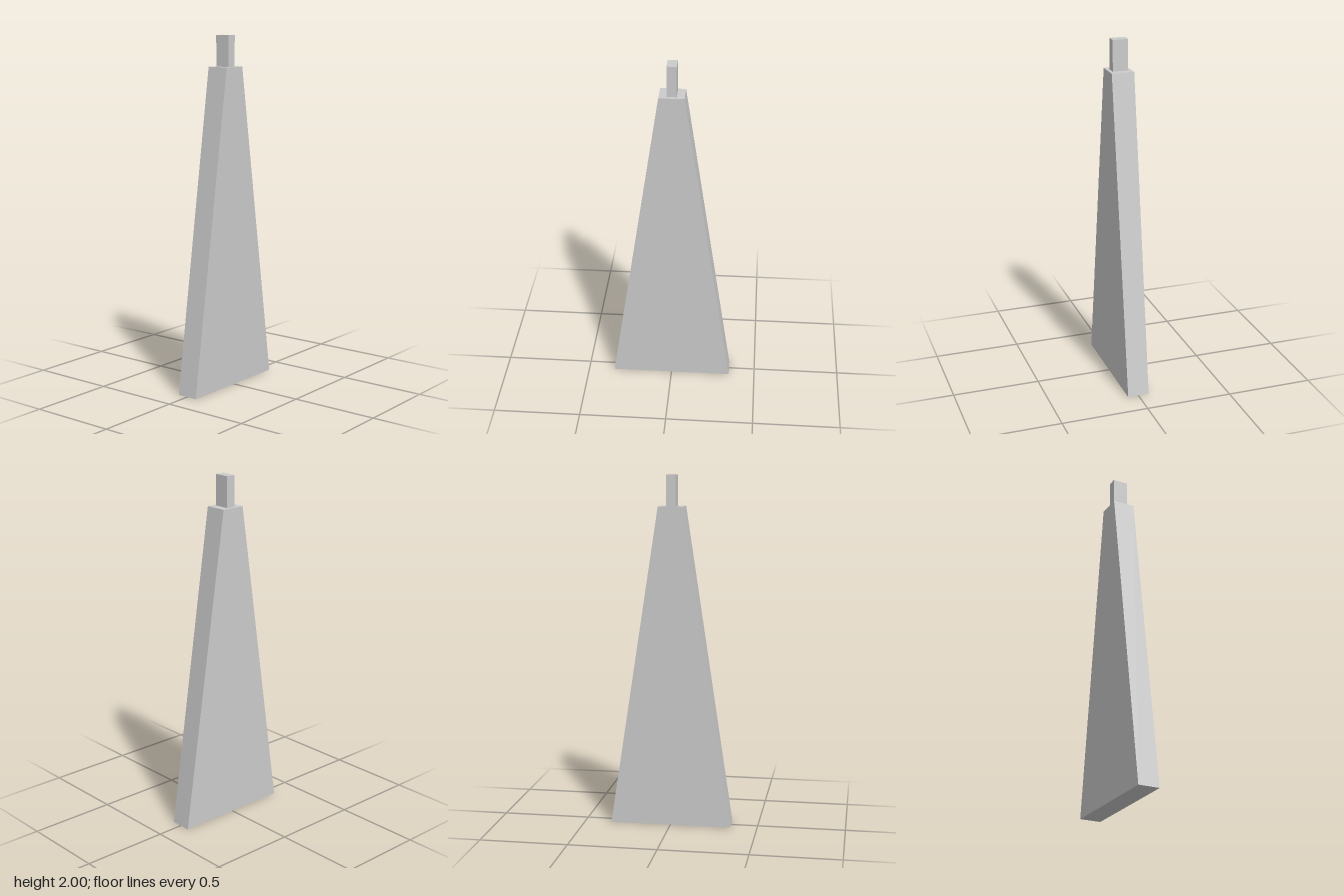
import * as THREE from 'three';

const material = new THREE.MeshStandardMaterial({ color: 0xcccccc, flatShading: true });

// Box standing on y0 whose bottom and top have their own width and depth
function taperedBox(name, y0, y1, bottom, top) {
  const geometry = new THREE.BoxGeometry(1, 1, 1);
  const p = geometry.attributes.position;
  for (let i = 0; i < p.count; i++) {
    const isTop = p.getY(i) > 0;
    const [w, d] = isTop ? top : bottom;
    p.setXYZ(i, p.getX(i) * w, isTop ? y1 : y0, p.getZ(i) * d);
  }
  geometry.computeVertexNormals();
  const mesh = new THREE.Mesh(geometry, material);
  mesh.name = name;
  return mesh;
}

export function createModel() {
  const group = new THREE.Group();
  group.name = 'taperedBlade';
  // Wide flat body narrowing upwards
  group.add(taperedBox('body', 0, 1.826, [0.694, 0.124], [0.14, 0.128]));
  // Small rectangular peg on top
  group.add(taperedBox('peg', 1.826, 2, [0.054, 0.088], [0.054, 0.088]));
  return group;
}
